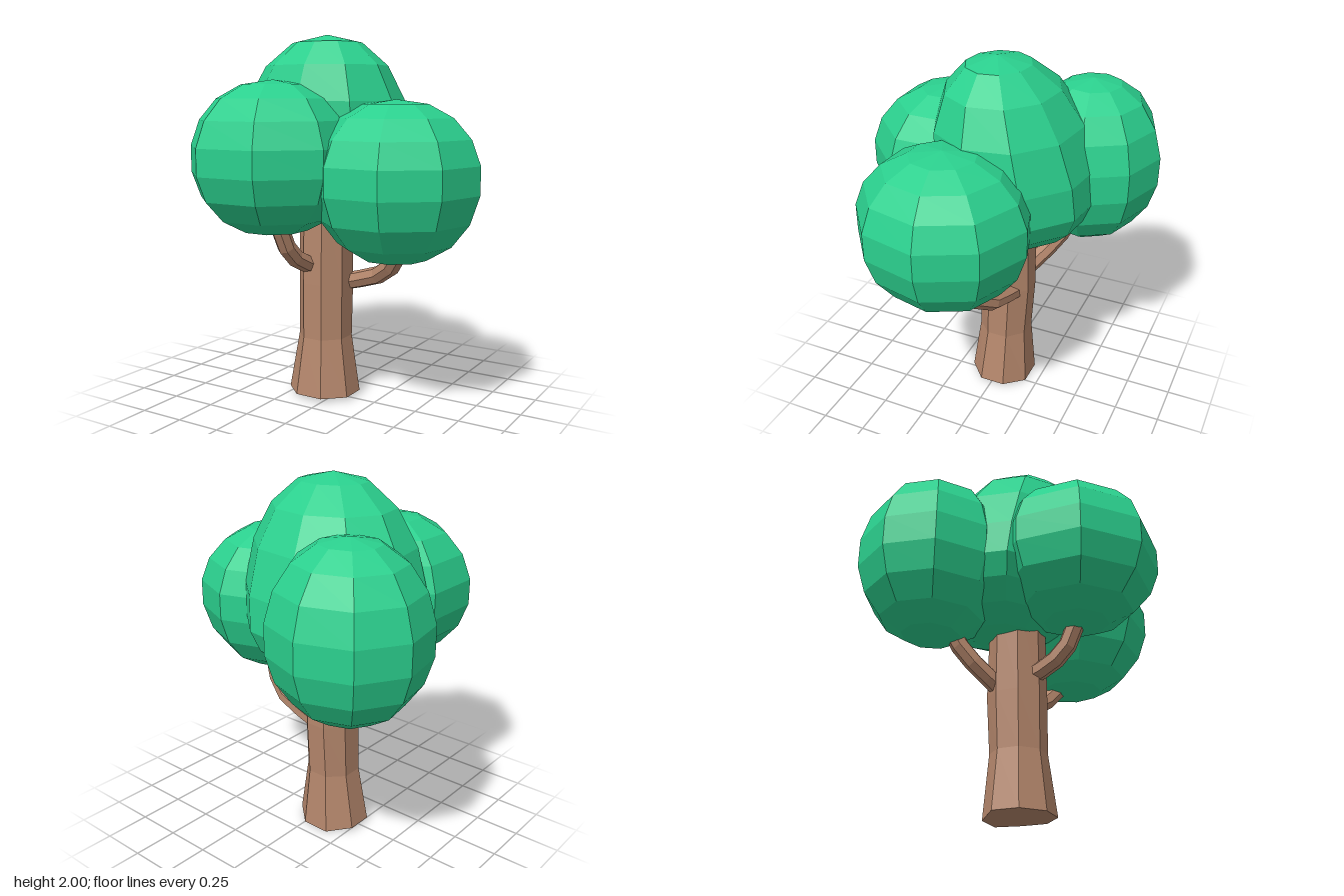
import * as THREE from 'three';

const leafMaterial = new THREE.MeshStandardMaterial({ color: 0x2bd08e, flatShading: true });
const barkMaterial = new THREE.MeshStandardMaterial({ color: 0xb5876c, flatShading: true });

// Elliptical prism-like skin: rings of { x, y, z, rx, rz } from top to bottom
function loft(rings, sides, phase) {
  const positions = [];
  const index = [];
  for (const { x, y, z, rx, rz } of rings) {
    for (let i = 0; i < sides; i++) {
      const a = phase + (i / sides) * Math.PI * 2;
      positions.push(x + rx * Math.cos(a), y, z + rz * Math.sin(a));
    }
  }
  for (let r = 0; r < rings.length - 1; r++) {
    for (let i = 0; i < sides; i++) {
      const a = r * sides + i;
      const b = r * sides + (i + 1) % sides;
      if (rings[r].rx > 0) index.push(a, b, a + sides);
      if (rings[r + 1].rx > 0) index.push(b, b + sides, a + sides);
    }
  }
  const geometry = new THREE.BufferGeometry();
  geometry.setAttribute('position', new THREE.Float32BufferAttribute(positions, 3));
  geometry.setIndex(index);
  return geometry;
}

// Faceted ball with its own height above and below the widest level;
// the upper half leans sideways by up to (leanX, leanZ)
function crownGeometry({ centre, rx, rz, up, down, sides, phase, leanX = 0, leanZ = 0 }) {
  const [cx, cy, cz] = centre;
  const rings = [];
  const steps = 9;
  for (let i = 0; i <= steps; i++) {
    const t = (i / steps) * Math.PI;
    const c = Math.cos(t);
    const s = i % steps === 0 ? 0 : Math.sin(t) ** 0.9;
    const lean = Math.max(c, 0);
    rings.push({
      x: cx + leanX * lean, y: cy + c * (c > 0 ? up : down), z: cz + leanZ * lean,
      rx: rx * s, rz: rz * s,
    });
  }
  return loft(rings, sides, THREE.MathUtils.degToRad(phase));
}

function trunkGeometry() {
  const ring = (y, rx, rz, z) => ({ x: -0.08, y, z, rx, rz });
  const geometry = loft([
    ring(1.15, 0, 0, -0.03), ring(1.15, 0.15, 0.15, -0.03), ring(0.65, 0.15, 0.16, -0.03),
    ring(0.34, 0.15, 0.15, -0.02), ring(0.02, 0.205, 0.185, -0.01), ring(0.015, 0, 0, -0.01),
  ], 8, Math.PI / 8);
  // The rear edge of the foot dips to the ground
  const p = geometry.attributes.position;
  for (let i = 0; i < p.count; i++) {
    if (p.getY(i) < 0.05 && p.getZ(i) < -0.15) p.setY(i, 0);
  }
  return geometry;
}

function addPart(group, name, geometry, material) {
  const flat = geometry.toNonIndexed();
  flat.computeVertexNormals();
  const mesh = new THREE.Mesh(flat, material);
  mesh.name = name;
  group.add(mesh);
}

const crowns = {
  topCrown: { centre: [-0.13, 1.3, -0.08], rx: 0.51, rz: 0.445, up: 0.7, down: 0.34,
    sides: 10, phase: -27, leanX: 0.09, leanZ: 0.1 },
  frontCrown: { centre: [-0.17, 1.35, 0.34], rx: 0.455, rz: 0.45, up: 0.41, down: 0.395,
    sides: 8, phase: 22.5 },
  leftCrown: { centre: [0.42, 1.27, 0.1], rx: 0.445, rz: 0.46, up: 0.39, down: 0.45,
    sides: 9, phase: -7 },
  backCrown: { centre: [-0.45, 1.32, -0.36], rx: 0.42, rz: 0.4, up: 0.48, down: 0.44,
    sides: 9, phase: -10 },
};

const branches = {
  leftBranch: [[-0.03, 0.63, -0.1], [0.26, 0.72, -0.06], [0.4, 0.85, 0.02], [0.45, 1, 0.06]],
  backBranch: [[-0.13, 0.67, -0.08], [-0.27, 0.82, -0.21], [-0.33, 0.95, -0.29], [-0.36, 1.1, -0.33]],
  frontBranch: [[-0.11, 0.74, 0.03], [-0.13, 0.8, 0.19], [-0.14, 0.9, 0.29], [-0.15, 1.06, 0.34]],
};

export function createModel() {
  const tree = new THREE.Group();
  tree.name = 'tree';

  // Trunk flares at the foot and carries on into the foliage
  addPart(tree, 'trunk', trunkGeometry(), barkMaterial);

  // Bent branches reach up into the side crowns
  for (const [name, path] of Object.entries(branches)) {
    const curve = new THREE.CatmullRomCurve3(path.map((v) => new THREE.Vector3(...v)));
    addPart(tree, name, new THREE.TubeGeometry(curve, 5, 0.05, 7), barkMaterial);
  }

  // Overlapping balls of foliage
  for (const [name, crown] of Object.entries(crowns)) {
    addPart(tree, name, crownGeometry(crown), leafMaterial);
  }
  return tree;
}
